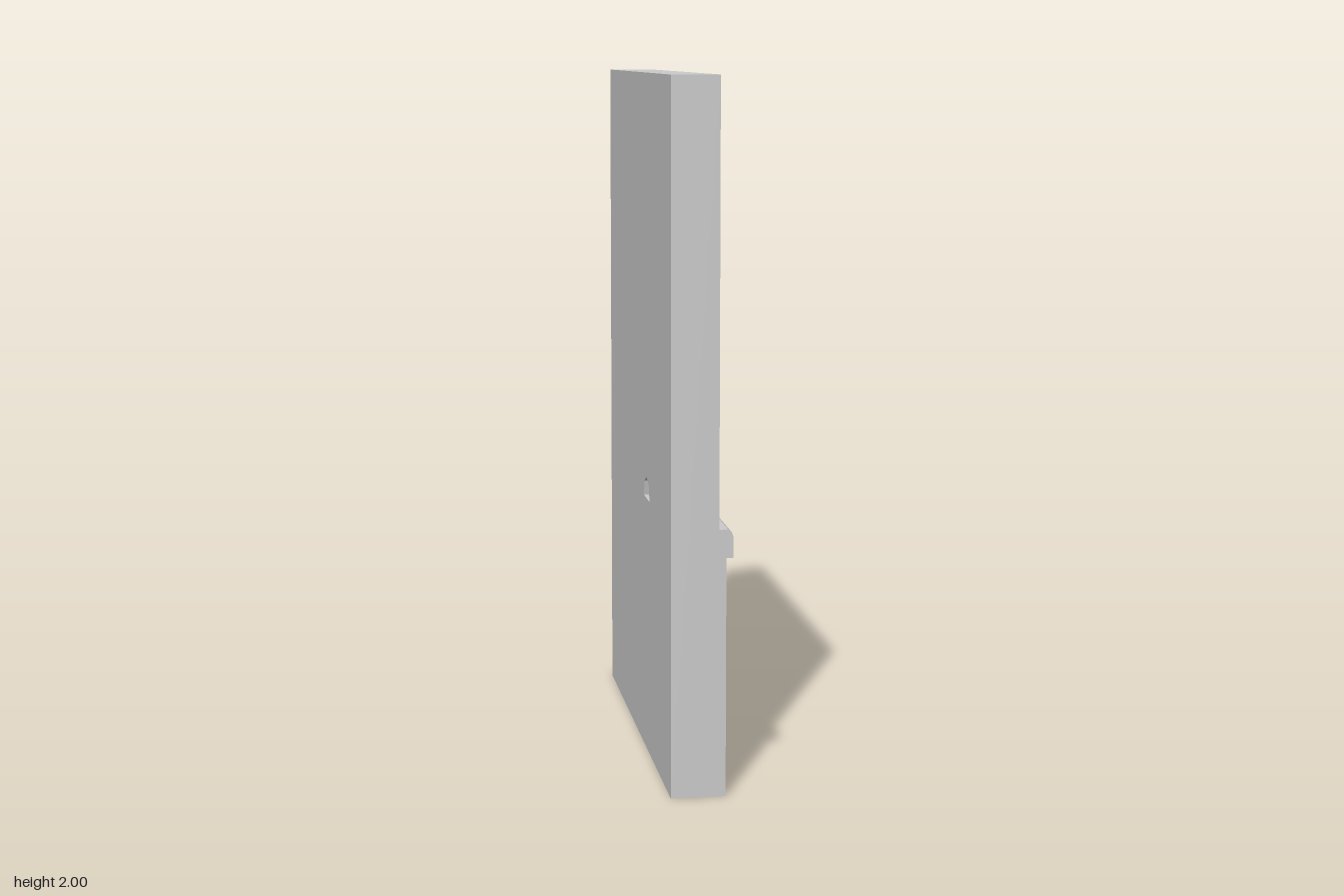
import * as THREE from 'three';

const HALF = 0.665; // half width of the wall along z
const material = new THREE.MeshStandardMaterial({ color: 0xcccccc, flatShading: true });

const polygon = (points, Type = THREE.Shape) => new Type(points.map(([x, y]) => new THREE.Vector2(x, y)));
const rect = (a, b, y0, y1) => [[a, y0], [b, y0], [b, y1], [a, y1]];

// Extrudes a (-z, y) outline along x, from x0 to x1
function slab(shape, x0, x1) {
  const geometry = new THREE.ExtrudeGeometry(shape, { depth: x1 - x0, bevelEnabled: false });
  return geometry.rotateY(Math.PI / 2).translate(x0, 0, 0);
}

function addMesh(group, geometry, name) {
  const mesh = new THREE.Mesh(geometry, material);
  mesh.name = name;
  group.add(mesh);
}

// Sunken groove around a slightly raised field, as nested rectangles
function panelGeometry(zMin, zMax, yMin, yMax) {
  const steps = [[0, 0.065], [0.008, 0.056], [0.011, 0.056], [0.02, 0.07]]; // inset, x
  const rings = steps.map(([inset, x]) => [
    [x, yMin + inset, zMax - inset], [x, yMin + inset, zMin + inset],
    [x, yMax - inset, zMin + inset], [x, yMax - inset, zMax - inset],
  ]);
  const positions = [];
  const quad = (a, b, c, d) => positions.push(...a, ...b, ...c, ...a, ...c, ...d);
  for (let i = 0; i < rings.length - 1; i++) {
    for (let k = 0; k < 4; k++) {
      const n = (k + 1) % 4;
      quad(rings[i][k], rings[i][n], rings[i + 1][n], rings[i + 1][k]);
    }
  }
  quad(...rings[rings.length - 1]);
  const geometry = new THREE.BufferGeometry();
  geometry.setAttribute('position', new THREE.Float32BufferAttribute(positions, 3));
  geometry.computeVertexNormals();
  return geometry;
}

export function createModel() {
  const group = new THREE.Group();
  group.name = 'panelledWall';

  // Wall slab with a small rough hole right above the rail
  const wall = polygon(rect(-HALF, HALF, 0, 2));
  wall.holes.push(polygon([[-0.24, 0.76], [-0.225, 0.805], [-0.18, 0.836], [-0.132, 0.805], [-0.122, 0.76]], THREE.Path));
  const wallGeometry = slab(wall, -0.09, 0.045);
  // The peak of the hole drops towards the back
  const p = wallGeometry.attributes.position;
  for (let i = 0; i < p.count; i++) {
    if (p.getX(i) < 0 && Math.abs(p.getZ(i) - 0.18) < 0.01) p.setY(i, 0.824);
  }
  wallGeometry.computeVertexNormals();
  addMesh(group, wallGeometry, 'wall');

  // Wainscot board with two openings and their panels
  const board = polygon(rect(-HALF, HALF, 0, 0.69));
  for (const side of [-1, 1]) {
    const z0 = side * 0.335 - 0.3, z1 = side * 0.335 + 0.3;
    board.holes.push(polygon(rect(-z1, -z0, 0.145, 0.645), THREE.Path));
    addMesh(group, panelGeometry(z0, z1, 0.145, 0.645), side > 0 ? 'leftPanel' : 'rightPanel');
  }
  addMesh(group, slab(board, 0.045, 0.065), 'wainscotBoard');

  // Chair rail with a chamfered top edge
  const rail = polygon([[0.045, 0.68], [0.085, 0.68], [0.085, 0.738], [0.08, 0.752], [0.07, 0.76], [0.045, 0.76]]);
  const railGeometry = new THREE.ExtrudeGeometry(rail, { depth: HALF * 2, bevelEnabled: false });
  addMesh(group, railGeometry.translate(0, 0, -HALF), 'chairRail');

  return group;
}
